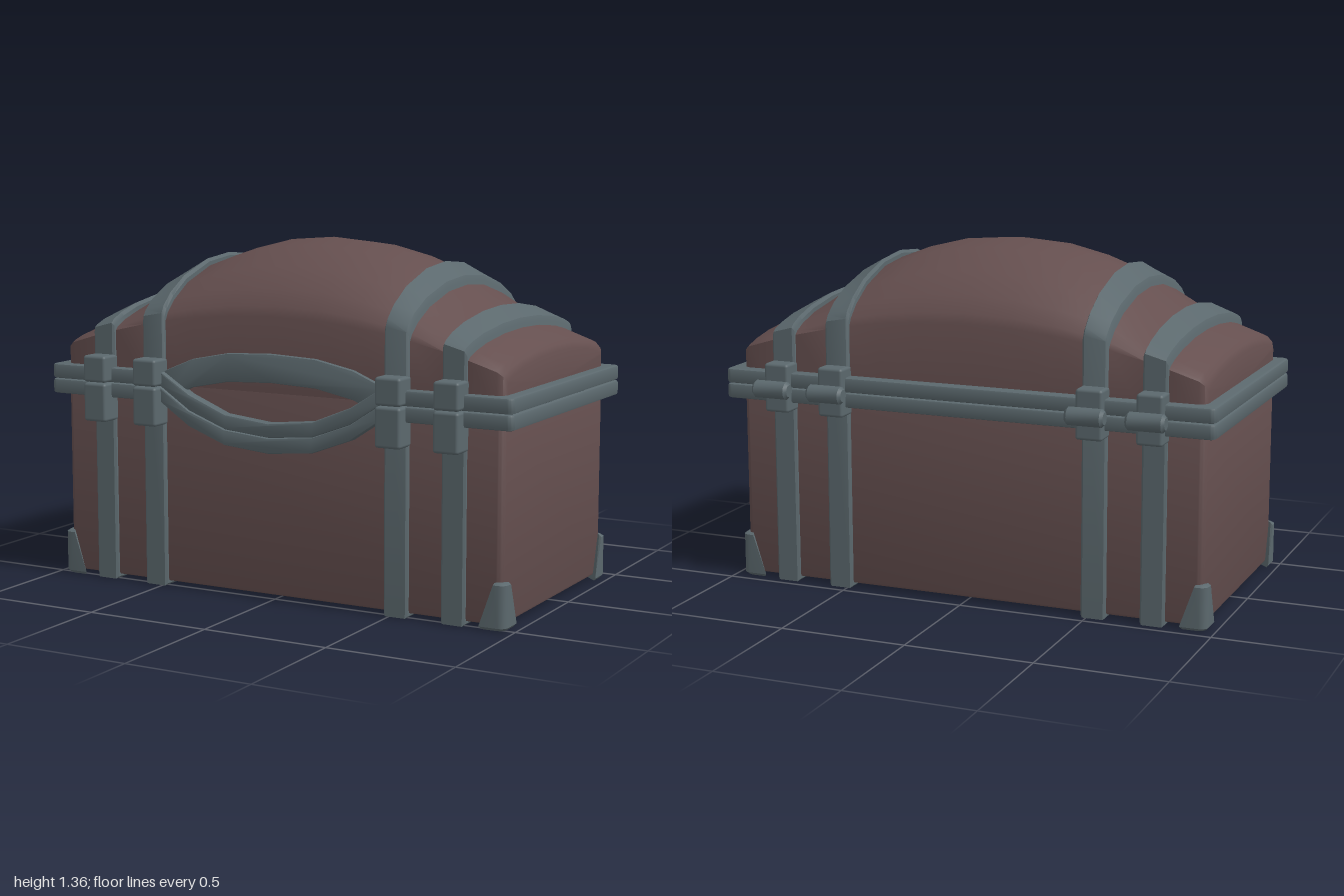
import * as THREE from 'three';
import { toCreasedNormals } from 'three/addons/utils/BufferGeometryUtils.js';
import { RoundedBoxGeometry } from 'three/addons/geometries/RoundedBoxGeometry.js';
import { ConvexGeometry } from 'three/addons/geometries/ConvexGeometry.js';

const ZC = 0.03, HALF_Z = 0.48;
const leather = new THREE.MeshStandardMaterial({ color: 0x654f4f });
const metal = new THREE.MeshStandardMaterial({ color: 0x5b686d });

function add(parent, name, geometry, material, crease = 0.6) {
  const mesh = new THREE.Mesh(crease ? toCreasedNormals(geometry, crease) : geometry, material);
  mesh.name = name;
  parent.add(mesh);
  return mesh;
}

// Ridge height of the lid along its length
const RIDGE = [[0, 1.36], [0.19, 1.345], [0.35, 1.305], [0.48, 1.255], [0.58, 1.195],
  [0.71, 1.1], [0.81, 1.045], [0.92, 1.0], [0.95, 0.995]];
function ridge(x) {
  const a = Math.abs(x);
  const i = Math.max(1, RIDGE.findIndex((p) => p[0] >= a - 1e-6));
  const [x0, y0] = RIDGE[i - 1], [x1, y1] = RIDGE[i];
  return y0 + (y1 - y0) * (a - x0) / (x1 - x0);
}

// Lid arch at x, front to back as [z, y], pushed out by side and up amounts
function arch(x, side, up) {
  const top = ridge(x), eave = 0.93 + 0.16 * (1 - (x / 0.95) ** 2);
  return [1, 0.97, 0.87, 0.67, 0.33, 0, -0.33, -0.67, -0.87, -0.97, -1].map((u) =>
    [ZC + u * (HALF_Z + side), eave + (top - eave) * (1 - u * u) ** 0.7 + up]);
}

// Solid skin over closed cross-sections [{ x, pts: [z, y][] }] ordered by x
function loft(sections) {
  const pos = [], n = sections[0].pts.length;
  const put = (s, j) => { const p = s.pts[j % n]; pos.push(s.x, p[1], p[0]); };
  const mid = (s) => pos.push(s.x, 0.85, ZC);
  const first = sections[0], last = sections[sections.length - 1];
  for (let j = 0; j < n; j++) {
    for (let i = 0; i < sections.length - 1; i++) {
      const a = sections[i], b = sections[i + 1];
      put(a, j); put(b, j); put(a, j + 1);
      put(a, j + 1); put(b, j); put(b, j + 1);
    }
    mid(first); put(first, j); put(first, j + 1);
    mid(last); put(last, j + 1); put(last, j);
  }
  const g = new THREE.BufferGeometry();
  g.setAttribute('position', new THREE.Float32BufferAttribute(pos, 3));
  return g;
}

// Extrusion whose bevel stays inside the outline
function bevelled(shape, depth, b) {
  const g = new THREE.ExtrudeGeometry(shape, { depth: depth - 2 * b, bevelEnabled: true,
    bevelThickness: b, bevelSize: b, bevelOffset: -b, bevelSegments: 2, curveSegments: 4 });
  return g.translate(0, 0, b);
}

// Horizontal slab with rounded corners, optionally notched along the front
function slab(hx, z0, z1, r, y0, y1, b, notch) {
  const s = new THREE.Shape(), q = Math.PI / 2;
  s.absarc(-hx + r, z0 + r, r, 2 * q, 3 * q);
  s.absarc(hx - r, z0 + r, r, 3 * q, 4 * q);
  s.absarc(hx - r, z1 - r, r, 0, q);
  if (notch) for (const [x, z] of [[notch, z1], [notch, 0.5], [-notch, 0.5], [-notch, z1]]) s.lineTo(x, z);
  s.absarc(-hx + r, z1 - r, r, q, 2 * q);
  s.closePath();
  return bevelled(s, y1 - y0, b).rotateX(Math.PI / 2).translate(0, y1, 0);
}

// Symmetrical curved band on the front, from half profiles listed centre outward
function band(upper, lower, z0, z1) {
  const xs = [0, 0.19, 0.35, 0.48];
  const full = (ys) => [...xs.map((x, i) => [-x, ys[i]]).reverse(), ...xs.slice(1).map((x, i) => [x, ys[i + 1]])];
  const pts = [...full(lower), ...full(upper).reverse()].map((p) => new THREE.Vector2(...p));
  return bevelled(new THREE.Shape(pts), z1 - z0, 0.008).translate(0, 0, z0);
}

function box(w, y0, y1, z0, z1, x) {
  return new RoundedBoxGeometry(w, y1 - y0, z1 - z0, 2, 0.012).translate(x, (y0 + y1) / 2, (z0 + z1) / 2);
}

export function createModel() {
  const chest = new THREE.Group();
  chest.name = 'chest';

  // Body and domed lid
  add(chest, 'body', slab(0.95, ZC - HALF_Z, ZC + HALF_Z, 0.03, 0.02, 0.81, 0.012), leather);
  const half = [[0.95, -0.03], [0.94, -0.01], [0.92, 0], [0.81, 0], [0.71, 0], [0.58, 0],
    [0.48, 0], [0.35, 0], [0.19, 0]];
  const stations = [...half.map(([x, o]) => [-x, o]), [0, 0], ...half.slice().reverse()];
  add(chest, 'lid', loft(stations.map(([x, o]) => ({
    x, pts: [[ZC + HALF_Z + o, 0.8], ...arch(x, o, o), [ZC - HALF_Z - o, 0.8]],
  }))), leather, 0.75);

  // Rims with the dipping front bands and the arched plate above the gap
  add(chest, 'lowerRim', slab(1, -0.5, 0.55, 0.025, 0.738, 0.796, 0.01, 0.475), metal);
  add(chest, 'upperRim', slab(1, -0.5, 0.55, 0.025, 0.798, 0.856, 0.01, 0.475), metal);
  const top = [0.69, 0.71, 0.775, 0.856], middle = [0.635, 0.652, 0.712, 0.797], bottom = [0.575, 0.592, 0.652, 0.738];
  add(chest, 'upperFrontBand', band(top, middle, 0.49, 0.55), metal);
  add(chest, 'lowerFrontBand', band(middle, bottom, 0.49, 0.555), metal);
  add(chest, 'frontArch', band([0.95, 0.942, 0.91, 0.856], [0.84, 0.832, 0.8, 0.74], 0.49, 0.527), metal);

  // Straps, each with a front clasp and a back hinge
  const pinProfile = [[0, -0.075], [0.024, -0.075], [0.035, -0.064], [0.035, 0.064], [0.024, 0.075], [0, 0.075]]
    .map((p) => new THREE.Vector2(...p));
  for (const side of [-1, 1]) {
    for (const [inner, outer] of [[0.478, 0.577], [0.712, 0.808]]) {
      const strap = new THREE.Group();
      strap.name = 'strap';
      chest.add(strap);
      const x = side * (inner + outer) / 2, w = (outer - inner) / 2;
      const rings = [[-w, 0.008], [-w + 0.008, 0.016], [w - 0.008, 0.016], [w, 0.008]].map(([dx, o]) => ({
        x: x + dx,
        pts: [[ZC + HALF_Z + o, 0.02 - o], ...arch(x + dx, o, 2 * o), [ZC - HALF_Z - o, 0.02 - o]],
      }));
      add(strap, 'strapBand', loft(rings), metal, 0.5);
      add(strap, 'upperClasp', box(2 * w + 0.006, 0.8, 0.905, 0.48, 0.597, x), metal, 0);
      add(strap, 'lowerClasp', box(2 * w + 0.006, 0.645, 0.797, 0.48, 0.597, x), metal, 0);
      add(strap, 'upperHingePlate', box(2 * w + 0.006, 0.8, 0.895, -0.53, -0.42, x), metal, 0);
      add(strap, 'lowerHingePlate', box(2 * w + 0.006, 0.703, 0.797, -0.53, -0.42, x), metal, 0);
      const pin = add(strap, 'hingePin', new THREE.LatheGeometry(pinProfile, 12), metal);
      pin.rotation.z = Math.PI / 2;
      pin.position.set(x, 0.8, -0.562);
    }
  }

  // Tapered guards around the bottom corners
  for (const sx of [-1, 1]) {
    for (const sz of [-1, 1]) {
      const pts = [];
      for (const [y, reach, inset] of [[0.003, 0.095, 0.01], [0.014, 0.105, 0], [0.172, 0.05, 0], [0.18, 0.047, 0.01]]) {
        const X = 0.97 - inset, Z = 0.4925 - inset, r = 0.03;
        const put = (x, z) => pts.push(new THREE.Vector3(sx * x, y, 0.0325 + sz * z));
        put(0.97 - reach, Z);
        put(X, 0.4925 - reach);
        for (let k = 0; k <= 4; k++) {
          const a = k * Math.PI / 8;
          put(X - r + r * Math.cos(a), Z - r + r * Math.sin(a));
        }
      }
      add(chest, 'cornerGuard', new ConvexGeometry(pts), metal);
    }
  }
  return chest;
}
